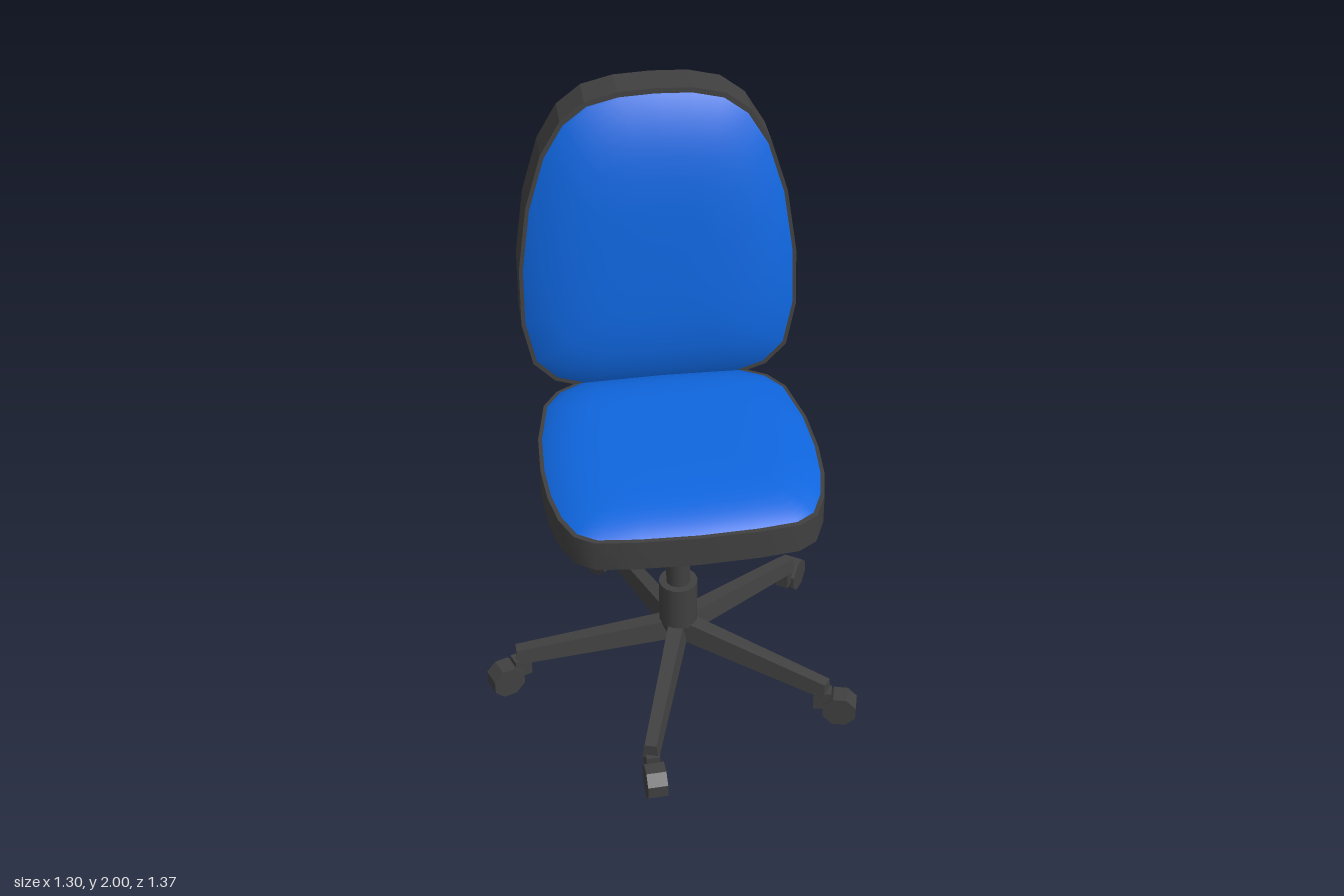
import * as THREE from 'three';
import { toCreasedNormals } from 'three/addons/utils/BufferGeometryUtils.js';

const plastic = new THREE.MeshStandardMaterial({ color: 0x404040 });
plastic.name = 'dark plastic';
const fabric = new THREE.MeshStandardMaterial({ color: 0x0f66df });
fabric.name = 'blue fabric';

const V = (x, y) => new THREE.Vector2(x, y);

function add(parent, name, geometry, material = plastic) {
  const mesh = new THREE.Mesh(geometry, material);
  mesh.name = name;
  parent.add(mesh);
  return mesh;
}

// Full counterclockwise outline from its right half, listed bottom to top
function mirrored(half) {
  const right = half.map(([x, y]) => V(x, y));
  const left = right.slice(1, -1).reverse().map(p => V(-p.x, p.y));
  return [...right, ...left];
}

// Flat-sided shell with its front at z = 0
function slab(outline, depth) {
  const g = new THREE.ExtrudeGeometry(new THREE.Shape(outline), { depth, bevelEnabled: false });
  g.translate(0, 0, -depth);
  return toCreasedNormals(g, 0.6);
}

// Padded surface bulging towards +z inside the outline
function cushion(outline, midY, height, power) {
  const scales = [1, 0.985, 0.96, 0.92, 0.86, 0.78, 0.68, 0.55, 0.4, 0.2, 0];
  const n = outline.length, pos = [], index = [];
  scales.forEach((s, k) => {
    for (let i = 0; i < n; i++) {
      const p = outline[i];
      pos.push(p.x * s * 0.972, midY + (p.y - midY) * s * 0.972, height * (1 - s ** power) + 0.002);
      if (k === 0) continue;
      const j = (i + 1) % n, a = (k - 1) * n, b = k * n;
      index.push(a + i, a + j, b + j, a + i, b + j, b + i);
    }
  });
  const g = new THREE.BufferGeometry();
  g.setAttribute('position', new THREE.Float32BufferAttribute(pos, 3));
  g.setIndex(index);
  g.computeVertexNormals();
  return g;
}

// Lean the backrest away from the seat
function lean(g) {
  const p = g.attributes.position;
  for (let i = 0; i < p.count; i++) p.setZ(i, p.getZ(i) - 0.41 - 0.085 * (p.getY(i) - 1));
  g.computeVertexNormals();
  return g;
}

// Tapered arm from the hub to the caster
function legGeometry() {
  const g = new THREE.BoxGeometry(1, 1, 1).toNonIndexed();
  const p = g.attributes.position;
  for (let i = 0; i < p.count; i++) {
    const t = p.getX(i) + 0.5, top = p.getY(i) > 0;
    const width = THREE.MathUtils.lerp(0.075, 0.056, t) * (top ? 0.7 : 1);
    const y = top ? THREE.MathUtils.lerp(0.245, 0.166, t) : THREE.MathUtils.lerp(0.17, 0.112, t);
    p.setXYZ(i, t * 0.565, y, p.getZ(i) * width);
  }
  g.computeVertexNormals();
  return g;
}

function cylinder(rTop, rBottom, y0, y1, sides) {
  return new THREE.CylinderGeometry(rTop, rBottom, y1 - y0, sides).translate(0, (y0 + y1) / 2, 0);
}

export function createModel() {
  const chair = new THREE.Group();
  chair.name = 'swivelChair';
  chair.position.set(-0.01, 0, 0.015);

  // Upper part, swivelled to one side
  const upper = new THREE.Group();
  upper.name = 'swivelTop';
  upper.rotation.y = THREE.MathUtils.degToRad(22.4);
  chair.add(upper);

  // Seat, drawn with its front edge at the bottom of the outline
  const seat = mirrored([[0, -0.467], [0.19, -0.46], [0.32, -0.445], [0.38, -0.405], [0.42, -0.315],
    [0.443, -0.2], [0.452, -0.06], [0.445, 0.11], [0.41, 0.295], [0.36, 0.37], [0.28, 0.418], [0, 0.43]]);
  add(upper, 'seatShell', slab(seat, 0.105).rotateX(-Math.PI / 2).translate(0, 0.96, 0));
  add(upper, 'seatCushion', cushion(seat, 0, 0.052, 6).rotateX(-Math.PI / 2).translate(0, 0.96, 0), fabric);

  // Backrest
  const back = mirrored([[0, 0.935], [0.25, 0.945], [0.36, 0.98], [0.43, 1.05], [0.462, 1.2], [0.46, 1.4],
    [0.428, 1.62], [0.372, 1.8], [0.305, 1.91], [0.225, 1.97], [0.12, 1.995], [0, 2]]);
  add(upper, 'backrestShell', lean(slab(back, 0.125)));
  add(upper, 'backrestCushion', lean(cushion(back, 1.42, 0.08, 4)), fabric);

  // Tilt mechanism and the bracket curving up behind the backrest
  const bracket = new THREE.Shape([V(0.115, 0.86), V(0.115, 0.745), V(0.1, 0.73), V(-0.08, 0.73),
    V(-0.15, 0.79), V(-0.47, 0.79), V(-0.53, 0.805), V(-0.565, 0.85), V(-0.59, 1.05),
    V(-0.52, 1.05), V(-0.505, 0.9), V(-0.47, 0.86)]);
  const bracketGeometry = new THREE.ExtrudeGeometry(bracket, { depth: 0.21, bevelEnabled: false });
  add(upper, 'backBracket', bracketGeometry.rotateY(-Math.PI / 2).translate(0.105, 0, 0));

  // Column and hub
  add(chair, 'gasLift', cylinder(0.041, 0.041, 0.38, 0.75, 16));
  add(chair, 'columnSleeve', cylinder(0.066, 0.066, 0.23, 0.4, 16));
  add(chair, 'baseHub', cylinder(0.066, 0.045, 0.16, 0.23, 16));

  // Five legs, each with a trailing caster
  const leg = legGeometry();
  const stem = new THREE.BoxGeometry(0.06, 0.07, 0.045).translate(0.005, 0.09, 0);
  const wheel = toCreasedNormals(new THREE.CylinderGeometry(0.06, 0.06, 0.066, 8), 0.3)
    .rotateY(Math.PI / 8).rotateX(Math.PI / 2).translate(0.065, 0.0555, 0);
  for (let i = 0; i < 5; i++) {
    const arm = new THREE.Group();
    arm.name = 'leg' + (i + 1);
    arm.rotation.y = -THREE.MathUtils.degToRad(13 + 72 * i);
    chair.add(arm);
    add(arm, 'legArm', leg);
    const caster = new THREE.Group();
    caster.name = 'caster';
    caster.position.x = 0.545;
    caster.rotation.y = THREE.MathUtils.degToRad(20);
    arm.add(caster);
    add(caster, 'casterStem', stem);
    add(caster, 'casterWheel', wheel);
  }

  const model = new THREE.Group();
  model.name = 'officeChair';
  model.add(chair);
  return model;
}
